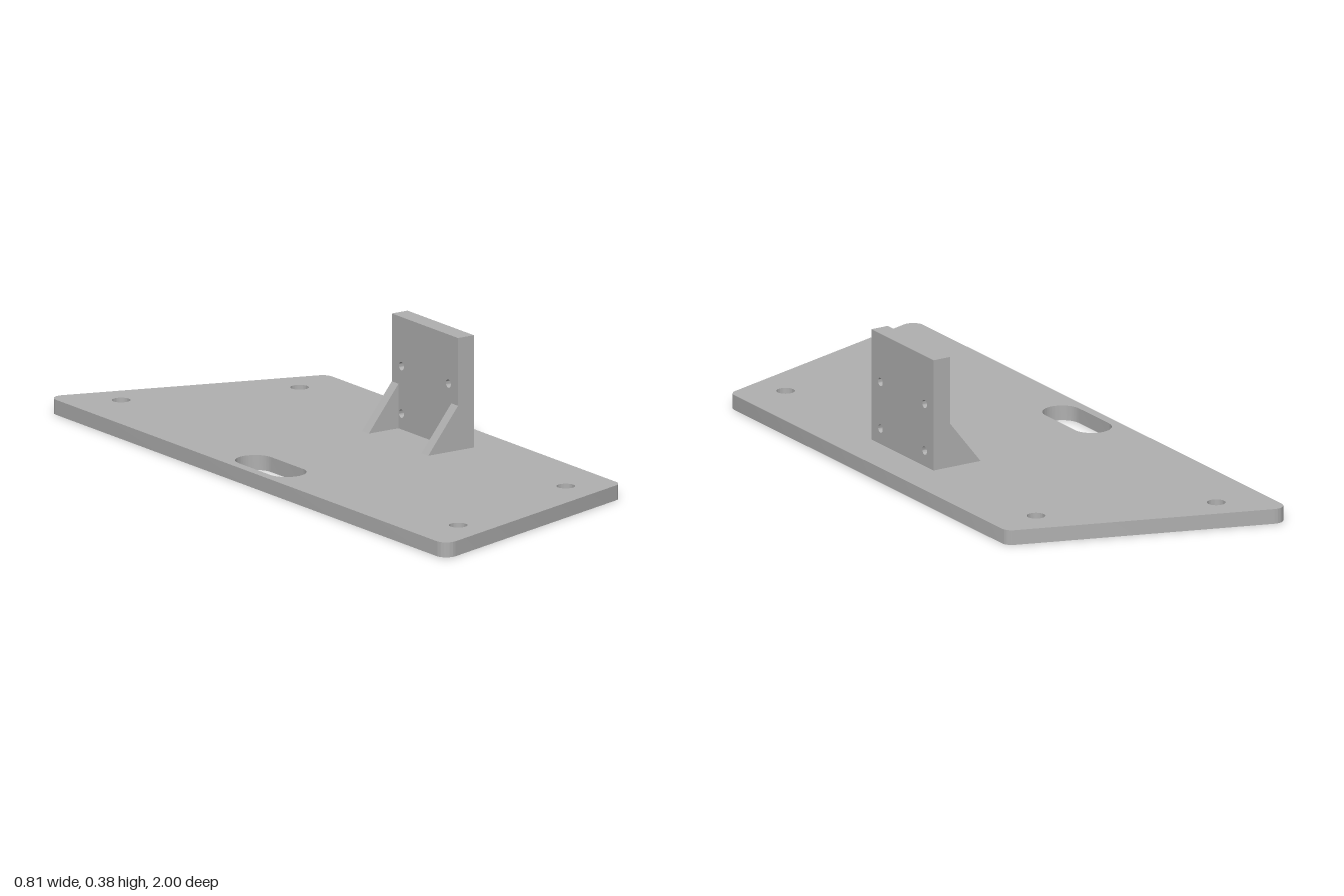
import * as THREE from 'three';
import { toCreasedNormals } from 'three/addons/utils/BufferGeometryUtils.js';

const HALF_X = 0.404, PLATE_H = 0.045, LONG_Z = 1.013, SHORT_Z = 0.745, CORNER_R = 0.034;
const WALL_X = 0.2295, WALL_T = 0.056, WALL_HALF_Z = 0.168, WALL_TOP = 0.383;
const GUSSET_X = 0.124, GUSSET_TOP = 0.179, GUSSET_T = 0.034;

function roundHole(x, y, r) {
  const path = new THREE.Path();
  path.absarc(x, y, r, 0, Math.PI * 2, true);
  return path;
}

function extrude(shape, depth) {
  const geometry = new THREE.ExtrudeGeometry(shape, { depth, bevelEnabled: false, curveSegments: 20 });
  return toCreasedNormals(geometry, 0.5);
}

// Polygon with every corner rounded by a tangent arc
function filletedShape(points, radius) {
  const shape = new THREE.Shape();
  points.forEach((p, i) => {
    const toPrev = points[(i + points.length - 1) % points.length].clone().sub(p).normalize();
    const toNext = points[(i + 1) % points.length].clone().sub(p).normalize();
    const half = Math.acos(toPrev.dot(toNext)) / 2;
    const reach = radius / Math.tan(half);
    const a = toPrev.clone().multiplyScalar(reach).add(p);
    const b = toNext.clone().multiplyScalar(reach).add(p);
    const c = toPrev.clone().add(toNext).normalize().multiplyScalar(radius / Math.sin(half)).add(p);
    if (i === 0) shape.moveTo(a.x, a.y); else shape.lineTo(a.x, a.y);
    shape.absarc(c.x, c.y, radius, Math.atan2(a.y - c.y, a.x - c.x), Math.atan2(b.y - c.y, b.x - c.x), false);
  });
  shape.closePath();
  return shape;
}

export function createModel() {
  const model = new THREE.Group();
  model.name = 'mountingBracket';
  const grey = new THREE.MeshStandardMaterial({ color: 0xb0b0b0 });
  grey.name = 'plainGrey';

  const add = (name, geometry) => {
    const mesh = new THREE.Mesh(geometry, grey);
    mesh.name = name;
    model.add(mesh);
    return mesh;
  };

  // Tapered base plate with four screw holes and a slot
  const base = filletedShape([
    new THREE.Vector2(-HALF_X, -LONG_Z), new THREE.Vector2(HALF_X, -SHORT_Z),
    new THREE.Vector2(HALF_X, SHORT_Z), new THREE.Vector2(-HALF_X, LONG_Z),
  ], CORNER_R);
  for (const side of [-1, 1]) {
    base.holes.push(roundHole(-0.25, side * 0.855, 0.027), roundHole(0.257, side * 0.675, 0.027));
  }
  const slot = new THREE.Path();
  slot.absarc(-0.317, 0.08, 0.058, 0, Math.PI, false);
  slot.absarc(-0.317, -0.08, 0.058, Math.PI, Math.PI * 2, false);
  slot.closePath();
  base.holes.push(slot);
  add('basePlate', extrude(base, PLATE_H).rotateX(-Math.PI / 2));

  // Upright plate with four small holes
  const wall = new THREE.Shape([
    new THREE.Vector2(-WALL_HALF_Z, PLATE_H), new THREE.Vector2(WALL_HALF_Z, PLATE_H),
    new THREE.Vector2(WALL_HALF_Z, WALL_TOP), new THREE.Vector2(-WALL_HALF_Z, WALL_TOP),
  ]);
  for (const side of [-1, 1]) {
    for (const y of [0.092, 0.235]) wall.holes.push(roundHole(side * 0.119, y, 0.0125));
  }
  add('uprightPlate', extrude(wall, WALL_T).rotateY(Math.PI / 2)).position.x = WALL_X;

  // Triangular gussets bracing the upright at both ends
  const gusset = new THREE.Shape([
    new THREE.Vector2(GUSSET_X, PLATE_H), new THREE.Vector2(WALL_X, PLATE_H),
    new THREE.Vector2(WALL_X, GUSSET_TOP),
  ]);
  const gussetGeometry = extrude(gusset, GUSSET_T);
  add('frontGusset', gussetGeometry).position.z = WALL_HALF_Z - GUSSET_T;
  add('backGusset', gussetGeometry).position.z = -WALL_HALF_Z;

  return model;
}
